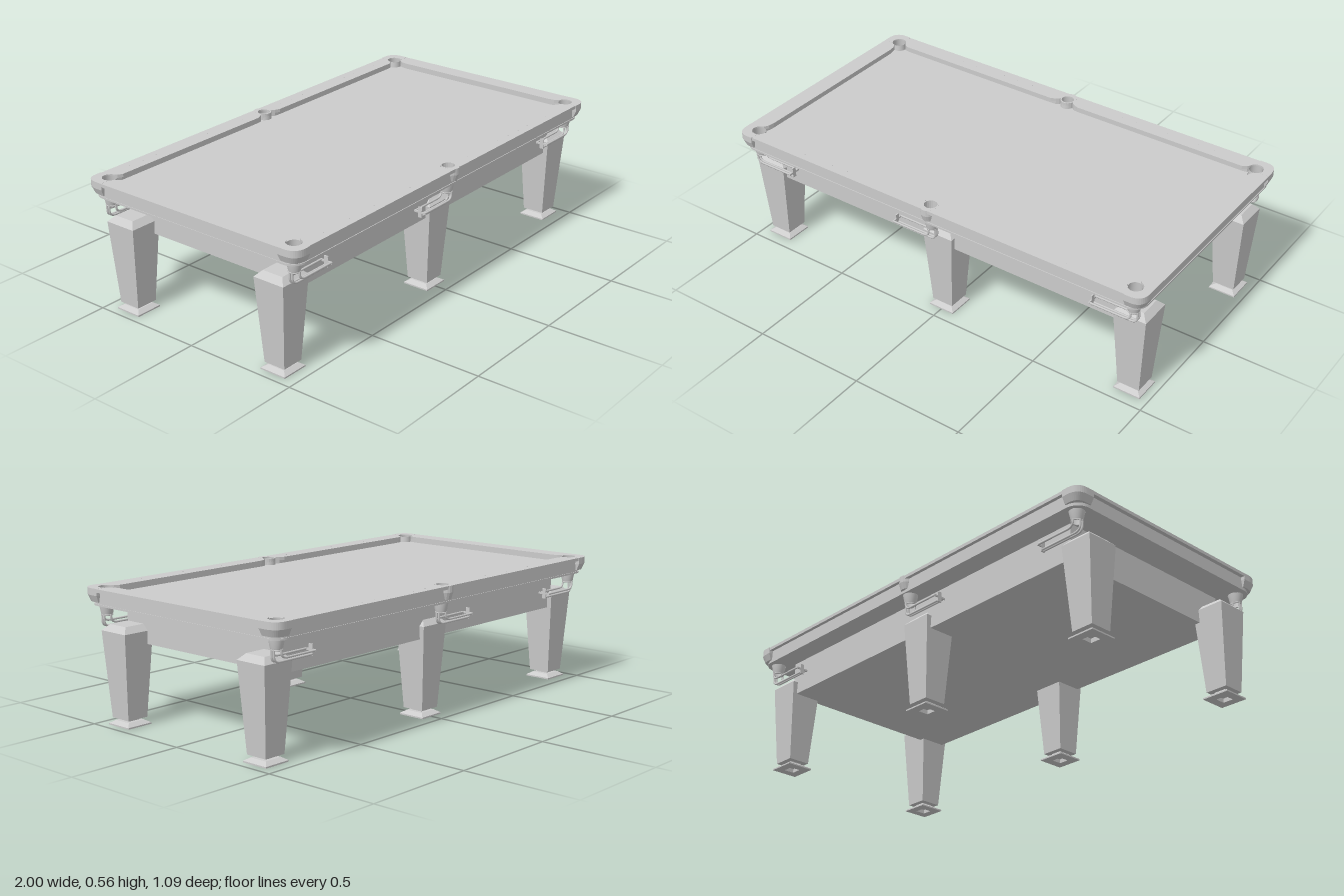
import * as THREE from 'three';

const smooth = new THREE.MeshStandardMaterial({ color: 0xcccccc, side: THREE.DoubleSide });
const flat = new THREE.MeshStandardMaterial({ color: 0xcccccc, flatShading: true });
const V = (x, y) => new THREE.Vector2(x, y);

const CORNER = { x: 0.932, z: 0.477, r: 0.032 };
const SIDE = { x: 0, z: 0.495, r: 0.028 };

function mesh(name, geometry, material = flat) {
  const m = new THREE.Mesh(geometry, material);
  m.name = name;
  return m;
}

// Horizontal plate: the shape's y becomes z, spanning y0..y1
function plate(name, shape, y0, y1, steps = 1) {
  const g = new THREE.ExtrudeGeometry(shape, { depth: y1 - y0, steps, bevelEnabled: false, curveSegments: 10 });
  g.rotateX(Math.PI / 2).translate(0, y1, 0);
  return mesh(name, g);
}

function roundedRect(w, h, r) {
  const s = new THREE.Shape();
  s.absarc(w - r, h - r, r, 0, Math.PI / 2);
  s.absarc(-w + r, h - r, r, Math.PI / 2, Math.PI);
  s.absarc(-w + r, -h + r, r, Math.PI, Math.PI * 1.5);
  s.absarc(w - r, -h + r, r, Math.PI * 1.5, Math.PI * 2);
  s.closePath();
  return s;
}

function circlePath(x, y, r) {
  const p = new THREE.Path();
  p.absarc(x, y, r, 0, Math.PI * 2, true);
  return p;
}

function arc({ x, z, r }, fromDeg, toDeg, n) {
  return Array.from({ length: n + 1 }, (_, i) => {
    const a = THREE.MathUtils.degToRad(fromDeg + (toDeg - fromDeg) * i / n);
    return V(x + r * Math.cos(a), z + r * Math.sin(a));
  });
}

// Cushion outline with pocket jaws; d pushes the straight noses outward
function cushionPath(d) {
  const q = [
    ...arc(SIDE, 90, 0, 6), V(0.035, 0.481), V(0.048, 0.472), V(0.07, 0.4625 + d),
    V(0.875, 0.4625 + d), V(0.895, 0.474),
    ...arc(CORNER, 170, -80, 14), V(0.926 + d, 0.425), V(0.922 + d, 0.4),
  ];
  const back = q.slice(1).reverse();
  return new THREE.Path([
    ...q, ...back.map(p => V(p.x, -p.y)),
    ...q.map(p => V(-p.x, -p.y)), ...back.map(p => V(-p.x, p.y)),
  ]);
}

// Slab pierced by all six pockets
function piercedSlab(w, h, r) {
  const s = roundedRect(w, h, r);
  for (const sz of [1, -1]) {
    for (const sx of [1, -1]) s.holes.push(circlePath(sx * CORNER.x, sz * CORNER.z, CORNER.r));
    s.holes.push(circlePath(0, sz * SIDE.z, SIDE.r));
  }
  return s;
}

function frame(w, h, r, d) {
  const s = roundedRect(w, h, r);
  s.holes.push(cushionPath(d));
  return s;
}

// Square tapered block
function taper(name, bottom, top, y0, y1) {
  const g = new THREE.CylinderGeometry(top * Math.SQRT2, bottom * Math.SQRT2, y1 - y0, 4);
  g.rotateY(Math.PI / 4).translate(0, (y0 + y1) / 2, 0);
  return mesh(name, g);
}

function leg(x, z) {
  const g = new THREE.Group();
  g.name = 'leg';
  const profile = [[0.023, 0.02], [0.023, 0], [0.06, 0], [0.06, 0.006], [0.04, 0.019], [0.023, 0.02]];
  const foot = new THREE.LatheGeometry(profile.map(([r, y]) => V(r * Math.SQRT2, y)), 4);
  foot.rotateY(Math.PI / 4);
  g.add(
    mesh('foot', foot),
    taper('footNeck', 0.025, 0.025, 0.018, 0.032),
    taper('legPost', 0.049, 0.072, 0.03, 0.39),
    taper('legCap', 0.072, 0.047, 0.39, 0.415),
  );
  g.position.set(x, 0, z);
  return g;
}

// Pocket sleeve with wire ball gutter running toward -x
function pocket() {
  const g = new THREE.Group();
  g.name = 'pocket';
  const sleeve = [[0.021, 0.445], [0.024, 0.452], [0.033, 0.497], [0.031, 0.52], [0.028, 0.557]];
  g.add(mesh('pocketSleeve', new THREE.LatheGeometry(sleeve.map(p => V(...p)), 24), smooth));
  const collar = new THREE.TorusGeometry(0.022, 0.003, 6, 20);
  collar.rotateX(Math.PI / 2).translate(0, 0.446, 0);
  g.add(mesh('sleeveCollar', collar, smooth));
  // start x, gutter height, z offset of each wire
  for (const [x, y, z] of [[0, 0.416, 0.024], [0, 0.416, -0.024], [0.02, 0.399, 0.006], [0.02, 0.399, -0.006]]) {
    const path = new THREE.CurvePath();
    const P = (px, py) => new THREE.Vector3(px, py, z);
    path.add(new THREE.LineCurve3(P(x, 0.45), P(x, y + 0.025)));
    path.add(new THREE.QuadraticBezierCurve3(P(x, y + 0.025), P(x, y), P(x - 0.03, y)));
    path.add(new THREE.LineCurve3(P(x - 0.03, y), P(-0.18, y)));
    g.add(mesh('gutterWire', new THREE.TubeGeometry(path, 32, 0.0045, 6), smooth));
  }
  // Narrow upright and cross bar closing the gutter
  const post = new THREE.BoxGeometry(0.005, 0.045, 0.018);
  post.translate(-0.18, 0.415, 0);
  const bar = new THREE.BoxGeometry(0.005, 0.008, 0.056);
  bar.translate(-0.18, 0.415, 0);
  g.add(mesh('gutterStop', post), mesh('gutterCrossBar', bar));
  return g;
}

// Metal cap around a pocket, its lower half drawn in toward the sleeve
function casting(name, shape, centre) {
  const m = plate(name, shape, 0.503, 0.5605, 2);
  const pos = m.geometry.attributes.position;
  for (let i = 0; i < pos.count; i++) {
    const dx = pos.getX(i) - centre.x, dz = pos.getZ(i) - centre.z;
    if (pos.getY(i) > 0.51 || Math.hypot(dx, dz) < 0.033) continue;
    pos.setX(i, centre.x + dx * 0.82);
    pos.setZ(i, centre.z + dz * 0.82);
  }
  m.geometry.computeVertexNormals();
  return m;
}

function cornerCasting() {
  const s = new THREE.Shape();
  s.moveTo(0.96, 0.455);
  s.lineTo(1.0, 0.455);
  s.lineTo(1.0, 0.485);
  s.quadraticCurveTo(1.0, 0.543, 0.945, 0.543);
  s.lineTo(0.92, 0.543);
  arc(CORNER, 118, -40, 10).forEach(p => s.lineTo(p.x, p.y));
  return casting('cornerCasting', s, CORNER);
}

function sideCasting() {
  const s = new THREE.Shape();
  s.absellipse(0, 0.503, 0.034, 0.042, 0, Math.PI * 2);
  s.holes.push(circlePath(0, SIDE.z, SIDE.r - 0.001));
  return casting('sideCasting', s, SIDE);
}

export function createModel() {
  const model = new THREE.Group();
  model.name = 'billiardTable';

  // Cabinet under the bed
  const cabinet = new THREE.BoxGeometry(1.72, 0.155, 0.874);
  cabinet.translate(0, 0.4125, 0);
  model.add(mesh('cabinet', cabinet));

  // Bed and stacked rail layers
  model.add(
    plate('lowerMoulding', piercedSlab(0.985, 0.528, 0.06), 0.488, 0.496),
    plate('bed', piercedSlab(0.983, 0.525, 0.06), 0.496, 0.532),
    plate('cushion', frame(0.983, 0.525, 0.06, 0.008), 0.532, 0.546),
    plate('railTop', frame(1.0, 0.54, 0.06, 0), 0.546, 0.56),
  );

  // Legs
  for (const x of [-0.905, 0, 0.905]) for (const z of [-0.388, 0.388]) model.add(leg(x, z));

  // Corner pockets, mirrored into all four corners
  for (const sx of [1, -1]) {
    for (const sz of [1, -1]) {
      const corner = new THREE.Group();
      corner.name = 'cornerPocket';
      const p = pocket();
      p.position.set(CORNER.x, 0, CORNER.z);
      corner.add(p, cornerCasting());
      corner.scale.set(sx, 1, sz);
      model.add(corner);
    }
  }

  // Side pockets
  for (const sz of [1, -1]) {
    const side = new THREE.Group();
    side.name = 'sidePocket';
    const p = pocket();
    p.position.set(SIDE.x, 0, SIDE.z - 0.005);
    side.add(p, sideCasting());
    side.scale.z = sz;
    model.add(side);
  }

  // Sight markers along the long rails
  const dot = new THREE.CylinderGeometry(0.003, 0.003, 0.002, 8);
  for (const sx of [1, -1]) {
    for (const sz of [1, -1]) {
      for (let i = 1; i <= 10; i++) {
        const m = mesh('sightMarker', dot);
        m.position.set(sx * (0.05 + i * 0.075), 0.5595, sz * 0.505);
        model.add(m);
      }
    }
  }
  return model;
}
